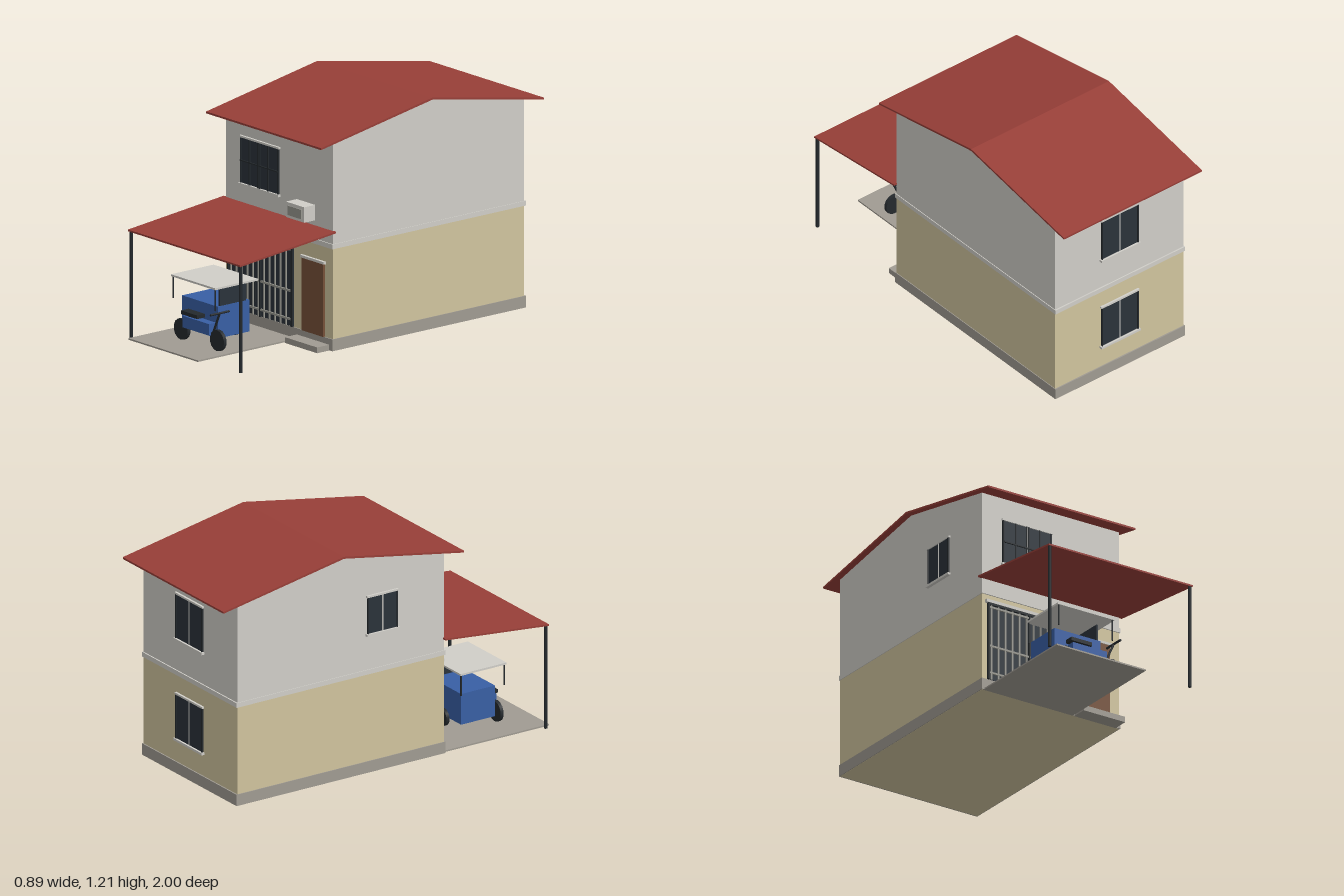
import * as THREE from 'three';

const mat = (name, color) => {
  const m = new THREE.MeshStandardMaterial({ color });
  m.name = name;
  return m;
};

export function createModel() {
  const M = {
    plaster: mat('pale plaster', 0xd0cec8),
    cream: mat('cream wall', 0xd0c49e),
    concrete: mat('concrete', 0xa09b92),
    roof: mat('red roof', 0x983f38),
    glass: mat('dark glass', 0x2a323a),
    iron: mat('black iron', 0x24292d),
    rail: mat('gate grey', 0x98978f),
    wood: mat('brown door', 0x755038),
    blue: mat('blue paint', 0x385fa4),
  };
  const root = new THREE.Group();
  root.name = 'townhouse';

  const group = (name, parent = root) => {
    const g = new THREE.Group();
    g.name = name;
    parent.add(g);
    return g;
  };
  const add = (name, geo, m, parent) => {
    const mesh = new THREE.Mesh(geo, m);
    mesh.name = name;
    parent.add(mesh);
    return mesh;
  };
  // Box given by its limits on each axis
  const box = (name, m, [x0, x1], [y0, y1], [z0, z1], parent = root) => {
    const b = add(name, new THREE.BoxGeometry(x1 - x0, y1 - y0, z1 - z0), m, parent);
    b.position.set((x0 + x1) / 2, (y0 + y1) / 2, (z0 + z1) / 2);
    return b;
  };
  // Side profile of [z, y] points, stretched across x
  const prism = (name, m, pts, x0, x1, parent = root) => {
    const s = new THREE.Shape(pts.map(([z, y]) => new THREE.Vector2(-z, y)));
    const g = new THREE.ExtrudeGeometry(s, { depth: x1 - x0, bevelEnabled: false });
    g.rotateY(Math.PI / 2).translate(x0, 0, 0);
    return add(name, g, m, parent);
  };
  // Round bar between two points
  const rod = (name, m, a, b, r, parent) => {
    const A = new THREE.Vector3(...a), B = new THREE.Vector3(...b);
    const d = B.clone().sub(A);
    const mesh = add(name, new THREE.CylinderGeometry(r, r, d.length(), 8), m, parent);
    mesh.position.copy(A).add(B).multiplyScalar(0.5);
    mesh.quaternion.setFromUnitVectors(new THREE.Vector3(0, 1, 0), d.normalize());
    return mesh;
  };

  // House shell
  const house = group('house');
  box('lowerWalls', M.cream, [-0.417, 0.414], [0, 0.535], [-0.895, 0.355], house);
  box('plinth', M.concrete, [-0.421, 0.418], [0.001, 0.062], [-0.902, 0.361], house);
  box('floorBand', M.plaster, [-0.421, 0.418], [0.53, 0.555], [-0.902, 0.361], house);
  prism('upperWalls', M.plaster, [[0.355, 0.55], [0.355, 1.085], [-0.27, 1.198],
    [-0.895, 1.085], [-0.895, 0.55]], -0.417, 0.414, house);
  prism('mainRoof', M.roof, [[0.457, 1.068], [0.457, 1.078], [-0.27, 1.21], [-1, 1.078],
    [-1, 1.068], [-0.27, 1.199]], -0.448, 0.444, house);

  // Window built facing +z, centred on its own origin
  const windowUnit = (name, w, h, bars) => {
    const g = group(name);
    const x = w / 2, y = h / 2;
    box('pane', M.glass, [-x, x], [-y, y], [0, 0.006], g);
    box('centreStrip', M.plaster, [-0.003, 0.003], [-y, y], [0, 0.008], g);
    box('sill', M.plaster, [-x - 0.011, x + 0.011], [-y - 0.012, -y], [0, 0.017], g);
    box('lintel', M.plaster, [-x - 0.008, x + 0.008], [y, y + 0.01], [0, 0.012], g);
    for (const s of [-1, 1]) {
      box('sideFrame', M.iron, [s * x - 0.003, s * x + 0.003], [-y, y], [0, 0.011], g);
    }
    if (bars) {
      for (const bx of [-x / 2, -0.006, 0.006, x / 2]) {
        box('grilleBar', M.iron, [bx - 0.003, bx + 0.003], [-y, y], [0.008, 0.015], g);
      }
      box('grilleRail', M.iron, [-x, x], [-0.003, 0.003], [0.008, 0.015], g);
    }
    return g;
  };
  windowUnit('frontWindow', 0.29, 0.235, true).position.set(-0.147, 0.844, 0.355);
  for (const [name, y] of [['upperBackWindow', 0.848], ['lowerBackWindow', 0.308]]) {
    const w = windowUnit(name, 0.23, 0.236, false);
    w.position.set(0, y, -0.895);
    w.rotation.y = Math.PI;
  }
  const side = windowUnit('sideWindow', 0.175, 0.195, false);
  side.position.set(-0.417, 0.847, -0.02);
  side.rotation.y = -Math.PI / 2;

  // Air conditioner
  const cooler = group('airConditioner');
  box('coolerCase', M.plaster, [0.135, 0.277], [0.65, 0.73], [0.35, 0.427], cooler);
  box('coolerVent', M.rail, [0.155, 0.26], [0.665, 0.714], [0.425, 0.432], cooler);

  // Barred entrance gate
  const gate = group('gate');
  box('gatePanel', M.glass, [-0.387, 0.113], [0.063, 0.484], [0.35, 0.361], gate);
  for (let i = 0; i < 12; i++) {
    const x = -0.366 + i * 0.0427;
    box('gateBar', M.rail, [x - 0.004, x + 0.004], [0.063, 0.472], [0.36, 0.367], gate);
  }
  for (const y of [0.1, 0.247, 0.461]) {
    box('gateRail', M.rail, [-0.387, 0.113], [y - 0.005, y + 0.005], [0.36, 0.369], gate);
  }
  for (const x of [-0.384, -0.137, 0.11]) {
    box('gateStile', M.iron, [x - 0.004, x + 0.004], [0.063, 0.484], [0.36, 0.371], gate);
  }
  box('gateTopRail', M.iron, [-0.387, 0.113], [0.472, 0.484], [0.36, 0.371], gate);
  box('gateLintel', M.plaster, [-0.398, 0.123], [0.484, 0.5], [0.35, 0.372], gate);

  // Front door
  box('frontDoor', M.wood, [0.185, 0.352], [0.062, 0.44], [0.35, 0.366]);
  box('doorLintel', M.plaster, [0.175, 0.361], [0.44, 0.453], [0.35, 0.37]);

  // Carport: slab, step, posts and sloping roof
  const carport = group('carport');
  box('slab', M.concrete, [-0.407, 0.133], [0, 0.008], [0.355, 1], carport);
  box('doorStep', M.concrete, [0.142, 0.393], [0, 0.03], [0.355, 0.44], carport);
  prism('carportRoof', M.roof, [[0.35, 0.615], [0.35, 0.624], [0.977, 0.561], [0.977, 0.552]],
    -0.438, 0.434, carport);
  for (const x of [-0.426, 0.423]) {
    rod('carportPost', M.iron, [x, 0, 0.965], [x, 0.556, 0.965], 0.009, carport);
  }

  // Motor tricycle with a covered sidecar
  const trike = group('tricycle');
  box('sidecarBody', M.blue, [-0.263, 0.015], [0.055, 0.22], [0.565, 0.77], trike);
  box('windscreen', M.glass, [0.003, 0.013], [0.22, 0.315], [0.585, 0.755], trike);
  box('canopy', M.plaster, [-0.28, 0.063], [0.326, 0.336], [0.55, 0.828], trike);
  for (const x of [-0.272, 0.054]) {
    for (const z of [0.558, 0.82]) {
      rod('canopyPost', M.iron, [x, 0.215, z], [x, 0.328, z], 0.004, trike);
    }
  }
  box('bikeBody', M.blue, [-0.19, 0.015], [0.08, 0.14], [0.783, 0.828], trike);
  box('bikeSeat', M.iron, [-0.2, -0.075], [0.147, 0.166], [0.78, 0.83], trike);
  box('seatMount', M.iron, [-0.16, -0.11], [0.138, 0.15], [0.795, 0.815], trike);
  rod('fork', M.iron, [0.02, 0.09, 0.806], [0.072, 0.205, 0.806], 0.006, trike);
  rod('handlebar', M.iron, [0.072, 0.205, 0.745], [0.072, 0.205, 0.867], 0.006, trike);
  for (const [x, r, z] of [[-0.22, 0.055, 0.806], [0.06, 0.055, 0.806], [-0.118, 0.045, 0.555]]) {
    const y = r + 0.007;
    rod('wheel', M.iron, [x, y, z - 0.009], [x, y, z + 0.009], r, trike).geometry =
      new THREE.CylinderGeometry(r, r, 0.018, 14);
  }
  return root;
}
